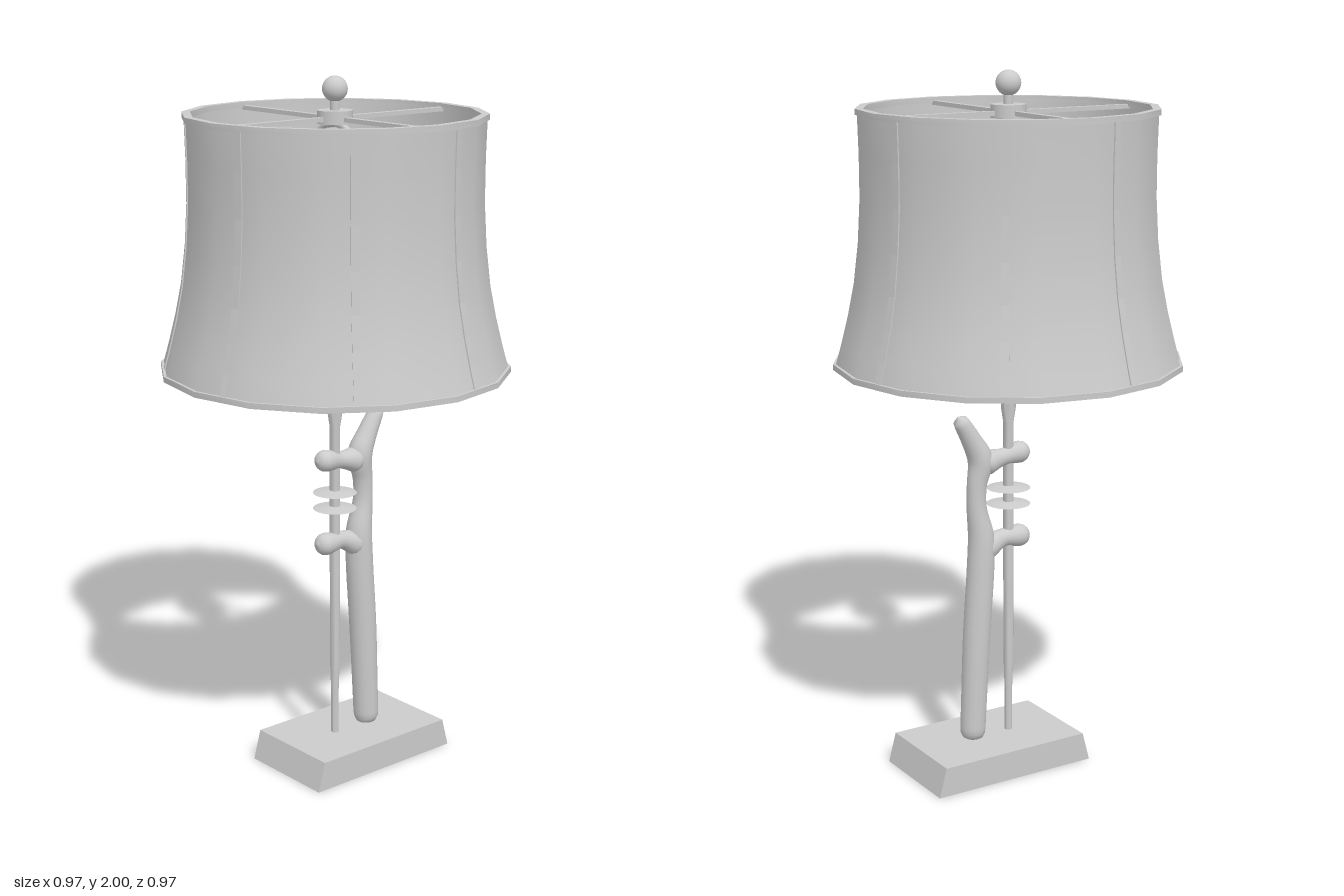
import * as THREE from 'three';
import { mergeVertices, toCreasedNormals } from 'three/addons/utils/BufferGeometryUtils.js';

const material = new THREE.MeshStandardMaterial({ color: 0xcccccc, side: THREE.DoubleSide });
const V = (x, y, z = 0) => new THREE.Vector3(x, y, z);
const points = (list) => list.map(([x, y]) => new THREE.Vector2(x, y));

function add(parent, name, geometry, x = 0, y = 0, z = 0) {
  const mesh = new THREE.Mesh(geometry, material);
  mesh.name = name;
  mesh.position.set(x, y, z);
  parent.add(mesh);
  return mesh;
}

// Turned part with sharp profile corners and a smooth round
function turned(profile, segments = 24, start = 0) {
  return toCreasedNormals(new THREE.LatheGeometry(points(profile), segments, start), 0.6);
}

// Round limb along a path; rows are [x, y, radius], with dome-shaped ends
function limb(rows, rings = 40) {
  const curve = new THREE.CatmullRomCurve3(rows.map(([x, y]) => V(x, y)));
  const radii = new THREE.CatmullRomCurve3(rows.map(([, , r], i) => V(i, r)));
  const length = curve.getLength();
  const geometry = new THREE.TubeGeometry(curve, rings, 1, 16);
  const position = geometry.attributes.position;
  const lengths = curve.getLengths(200);
  for (let i = 0; i <= rings; i++) {
    const centre = curve.getPointAt(i / rings);
    const t = curve.getUtoTmapping(i / rings);
    const r = radii.getPoint(t).y;
    const toEnd = Math.min(i, rings - i) / rings * lengths[200];
    const k = Math.min(1, toEnd / Math.min(r, length / 2));
    const radius = Math.max(0.0005, r * Math.sqrt(1 - (1 - k) ** 2));
    for (let j = 0; j <= 16; j++) {
      const n = i * 17 + j;
      const v = new THREE.Vector3().fromBufferAttribute(position, n).sub(centre).multiplyScalar(radius).add(centre);
      position.setXYZ(n, v.x, v.y, v.z);
    }
  }
  geometry.deleteAttribute('uv');
  geometry.deleteAttribute('normal');
  const merged = mergeVertices(geometry, 1e-5);
  merged.computeVertexNormals();
  return merged;
}

function buildShade() {
  const shade = new THREE.Group();
  shade.name = 'shade';
  shade.rotation.y = -0.02;
  const sides = 16, wall = 0.012, flat = Math.cos(Math.PI / sides);
  const outer = [[0.486, 1.195], [0.468, 1.26], [0.448, 1.34], [0.43, 1.43], [0.417, 1.54],
    [0.41, 1.66], [0.41, 1.78], [0.413, 1.895]];
  const inner = outer.map(([r, y]) => [r - wall, y]).reverse();
  add(shade, 'shadeWall', turned([...outer, ...inner, outer[0]], sides, Math.PI / sides));

  // Bands around the two rims
  for (const [name, r, y] of [['bottomTrim', 0.492, 1.187], ['topTrim', 0.419, 1.885]]) {
    const band = [[r, y], [r, y + 0.016], [r - 0.023, y + 0.016], [r - 0.023, y], [r, y]];
    add(shade, name, turned(band, sides, Math.PI / sides));
  }

  // Eight narrow strips down the outside
  const strip = [...outer.map(([r, y]) => [r * flat + 0.004, y]),
    ...outer.map(([r, y]) => [r * flat - 0.004, y]).reverse()];
  const geometry = new THREE.ExtrudeGeometry(new THREE.Shape(points(strip)), { depth: 0.022, bevelEnabled: false });
  geometry.translate(0, 0, -0.011);
  for (let i = 0; i < 8; i++) add(shade, 'shadeSeam', geometry).rotation.y = i * Math.PI / 4;
  return shade;
}

export function createModel() {
  const model = new THREE.Group();
  model.name = 'tableLamp';
  model.add(buildShade());

  // Everything below the shade is turned about the pole
  const body = new THREE.Group();
  body.name = 'body';
  body.rotation.y = 0.561;
  model.add(body);

  // Block base with sloping ends
  const block = new THREE.Shape(points([[-0.254, 0], [0.254, 0], [0.231, 0.085], [-0.231, 0.085]]));
  add(body, 'base', new THREE.ExtrudeGeometry(block, { depth: 0.297, bevelEnabled: false }), 0.067, 0, -0.149);

  // Pole, neck and socket
  add(body, 'pole', turned([[0, 0.08], [0.011, 0.08], [0.011, 0.21], [0.014, 0.3], [0.015, 0.6], [0.015, 1.02],
    [0.021, 1.06], [0.023, 1.19], [0.016, 1.2], [0.016, 1.24], [0, 1.24]]));
  add(body, 'socket', turned([[0, 1.21], [0.02, 1.212], [0.038, 1.225], [0.047, 1.25], [0.047, 1.275], [0.036, 1.29],
    [0.036, 1.32], [0.041, 1.325], [0.041, 1.34], [0.036, 1.345], [0.036, 1.43], [0.04, 1.47], [0, 1.47]]));
  add(body, 'bulb', turned([[0.03, 1.47], [0.034, 1.5], [0.055, 1.54], [0.078, 1.58], [0.086, 1.62],
    [0.081, 1.66], [0.062, 1.695], [0.032, 1.715], [0, 1.72]]));

  // Thin lens-shaped discs on the pole
  for (const y of [0.778, 0.825]) {
    add(body, 'disc', turned([[0, -0.008], [0.03, -0.007], [0.063, 0], [0.03, 0.007], [0, 0.008]]), 0, y, 0);
  }

  // Branch with two stubs that hold the pole
  add(body, 'branch', limb([[0.124, 0.075, 0.037], [0.118, 0.2, 0.038], [0.108, 0.4, 0.04], [0.094, 0.6, 0.04],
    [0.092, 0.69, 0.038], [0.106, 0.78, 0.029], [0.105, 0.85, 0.029], [0.094, 0.92, 0.036],
    [0.122, 0.98, 0.029], [0.166, 1.055, 0.021]], 70));
  add(body, 'upperStub', limb([[-0.067, 0.927, 0.031], [-0.03, 0.925, 0.031], [0.02, 0.918, 0.025],
    [0.07, 0.91, 0.036], [0.1, 0.9, 0.036]]));
  add(body, 'lowerStub', limb([[-0.067, 0.68, 0.033], [-0.03, 0.677, 0.032], [0.02, 0.678, 0.026],
    [0.07, 0.66, 0.036], [0.1, 0.64, 0.036]]));

  // Harp around the bulb, with a clip on each side
  const side = [[0, 1.29], [0.07, 1.29], [0.1, 1.33], [0.115, 1.42], [0.165, 1.54],
    [0.172, 1.64], [0.13, 1.77], [0.05, 1.86], [0, 1.872]];
  for (const s of [-1, 1]) {
    const path = new THREE.CatmullRomCurve3(side.map(([r, y]) => V(0, y, r * s)));
    add(body, 'harp', new THREE.TubeGeometry(path, 40, 0.009, 8));
    add(body, 'harpClip', new THREE.CylinderGeometry(0.016, 0.016, 0.06, 12), 0, 1.35, s * 0.102);
  }

  // Four arms carrying the shade
  for (let i = 0; i < 4; i++) {
    const arm = new THREE.BoxGeometry(0.385, 0.012, 0.018).translate(0.214, 1.885, 0);
    add(body, 'shadeArm', arm).rotation.y = i * Math.PI / 2;
  }

  // Hub, stem and finial ball
  add(body, 'hub', new THREE.CylinderGeometry(0.049, 0.049, 0.036, 24), 0, 1.89, 0);
  add(body, 'finialStem', new THREE.CylinderGeometry(0.013, 0.013, 0.07, 16), 0, 1.92, 0);
  add(body, 'finialBall', new THREE.SphereGeometry(0.035, 24, 16), 0, 1.965, 0);
  return model;
}
